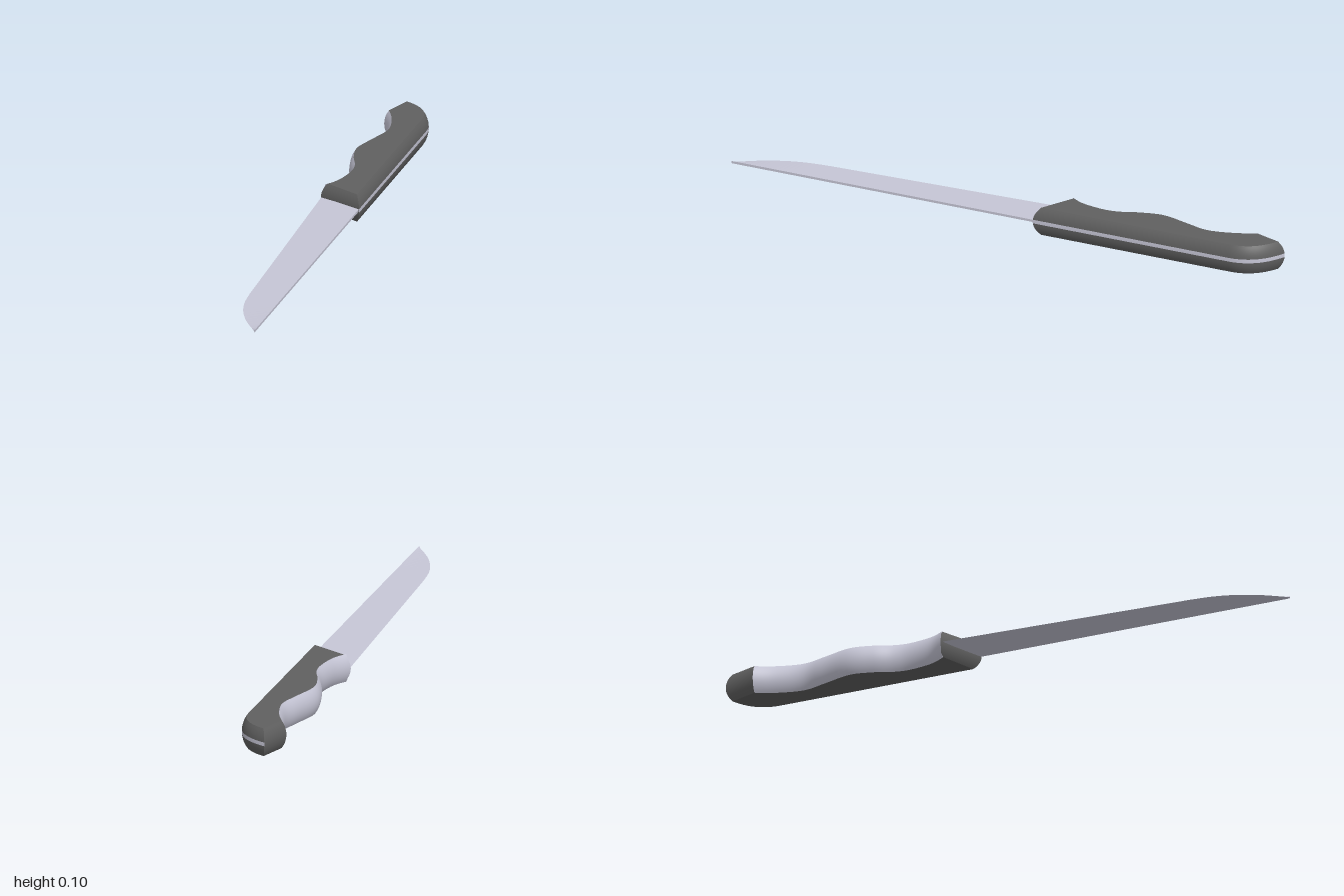
import * as THREE from 'three';

const steel = new THREE.MeshStandardMaterial({ color: 0xc6c6d6 });
const dark = new THREE.MeshStandardMaterial({ color: 0x606060 });
const v2 = (x, y) => new THREE.Vector2(x, y);

const HALF = 0.0485; // half thickness of the handle
const BULGE = 0.015; // how far the handle sides bulge out at mid height
const RADIUS = (HALF * HALF + BULGE * BULGE) / (2 * BULGE);
const inset = (y) => RADIUS - Math.sqrt(RADIUS * RADIUS - (y - HALF) ** 2);

function makeGeometry(positions, index) {
  const g = new THREE.BufferGeometry();
  g.setAttribute('position', new THREE.Float32BufferAttribute(positions, 3));
  g.setIndex(index);
  return g;
}

// Plan outline sections, counter-clockwise from above, as (x, -z)
function handleSections() {
  const heel = v2(-0.079, 0.205), collar = v2(0.079, 0.127);
  const tip = v2(-0.04, 1), pommel = v2(-0.079, 0.885);
  const round = new THREE.QuadraticBezierCurve(v2(0.079, 0.85), v2(0.079, 0.955), tip);
  const grip = new THREE.SplineCurve([
    pommel, v2(-0.048, 0.82), v2(-0.028, 0.73), v2(-0.048, 0.65), v2(-0.077, 0.545),
    v2(-0.063, 0.46), v2(-0.038, 0.395), v2(-0.032, 0.34), v2(-0.047, 0.26), heel,
  ]);
  return {
    front: [heel, collar],
    back: [collar, ...round.getPoints(14)],
    butt: [tip, pommel],
    grip: grip.getPoints(48),
  };
}

// Inward mitre direction of every outline point
function mitres(loop) {
  const n = loop.length;
  const normal = (a, b) => {
    const d = b.clone().sub(a).normalize();
    return v2(-d.y, d.x);
  };
  return loop.map((p, i) => {
    const a = normal(loop[(i + n - 1) % n], p);
    const b = normal(p, loop[(i + 1) % n]);
    return a.clone().add(b).divideScalar(1 + a.dot(b));
  });
}

// Bulged wall along part of the outline, between two heights
function wall(points, dirs, y0, y1, rows) {
  const pos = [], index = [];
  for (let j = 0; j <= rows; j++) {
    const y = y0 + ((y1 - y0) * j) / rows;
    points.forEach((p, i) => {
      const q = p.clone().addScaledVector(dirs[i], inset(y));
      pos.push(q.x, y, -q.y);
    });
  }
  const n = points.length;
  for (let j = 0; j < rows; j++) {
    for (let i = 0; i < n - 1; i++) {
      const a = j * n + i, b = a + 1, c = b + n, d = a + n;
      index.push(a, b, c, a, c, d);
    }
  }
  const g = makeGeometry(pos, index);
  g.computeVertexNormals();
  return g;
}

// Wedge blade: thick spine at +x, sharp edge at -x
function bladeGeometry() {
  const spineX = 0.077, mid = 0.05, t = 0.004;
  const belly = new THREE.SplineCurve([
    v2(-0.04, 0.68), v2(-0.032, 0.76), v2(-0.012, 0.835), v2(0.023, 0.91), v2(spineX, 0.99),
  ]).getPoints(20);
  const stations = [[-0.076, -0.2, -0.135], ...belly.map((p) => [p.x, p.y, p.y])];
  const pos = [], index = [];
  for (const [edgeX, edgeZ, spineZ] of stations) {
    pos.push(edgeX, mid, edgeZ, spineX, mid + t, spineZ, spineX, mid - t, spineZ);
  }
  for (let i = 0; i < stations.length - 1; i++) {
    for (let k = 0; k < 3; k++) {
      const a = i * 3 + k, b = i * 3 + ((k + 1) % 3);
      index.push(a, a + 3, b + 3, a, b + 3, b);
    }
  }
  index.push(0, 1, 2);
  const g = makeGeometry(pos, index).toNonIndexed();
  g.computeVertexNormals();
  return g;
}

export function createModel() {
  const model = new THREE.Group();
  model.name = 'knife';
  const handle = new THREE.Group();
  handle.name = 'handle';
  const add = (parent, name, geometry, material) => {
    const mesh = new THREE.Mesh(geometry, material);
    mesh.name = name;
    parent.add(mesh);
  };

  const s = handleSections();
  const order = ['front', 'back', 'butt', 'grip'];
  const loop = order.flatMap((k) => s[k].slice(0, -1));
  const dirs = mitres(loop);
  const top = 2 * HALF, low = 0.042, high = 0.055;
  let start = 0;
  for (const key of order) {
    const pts = s[key];
    const d = pts.map((_, i) => dirs[(start + i) % loop.length]);
    start += pts.length - 1;
    if (key === 'back') {
      // Tang strip showing between two dark scales
      add(handle, 'backLower', wall(pts, d, 0, low, 6), dark);
      add(handle, 'tangStrip', wall(pts, d, low, high, 2), steel);
      add(handle, 'backUpper', wall(pts, d, high, top, 6), dark);
    } else {
      add(handle, key + 'Side', wall(pts, d, 0, top, 14), key === 'grip' ? steel : dark);
    }
  }

  // Flat handle faces
  const face = loop.map((p, i) => p.clone().addScaledVector(dirs[i], BULGE));
  const cap = new THREE.ShapeGeometry(new THREE.Shape(face));
  add(handle, 'topFace', cap.clone().rotateX(-Math.PI / 2).translate(0, top, 0), dark);
  const under = new THREE.ShapeGeometry(new THREE.Shape(face.map((p) => v2(p.x, -p.y))));
  add(handle, 'bottomFace', under.rotateX(Math.PI / 2), dark);

  model.add(handle);
  add(model, 'blade', bladeGeometry(), steel);
  return model;
}
